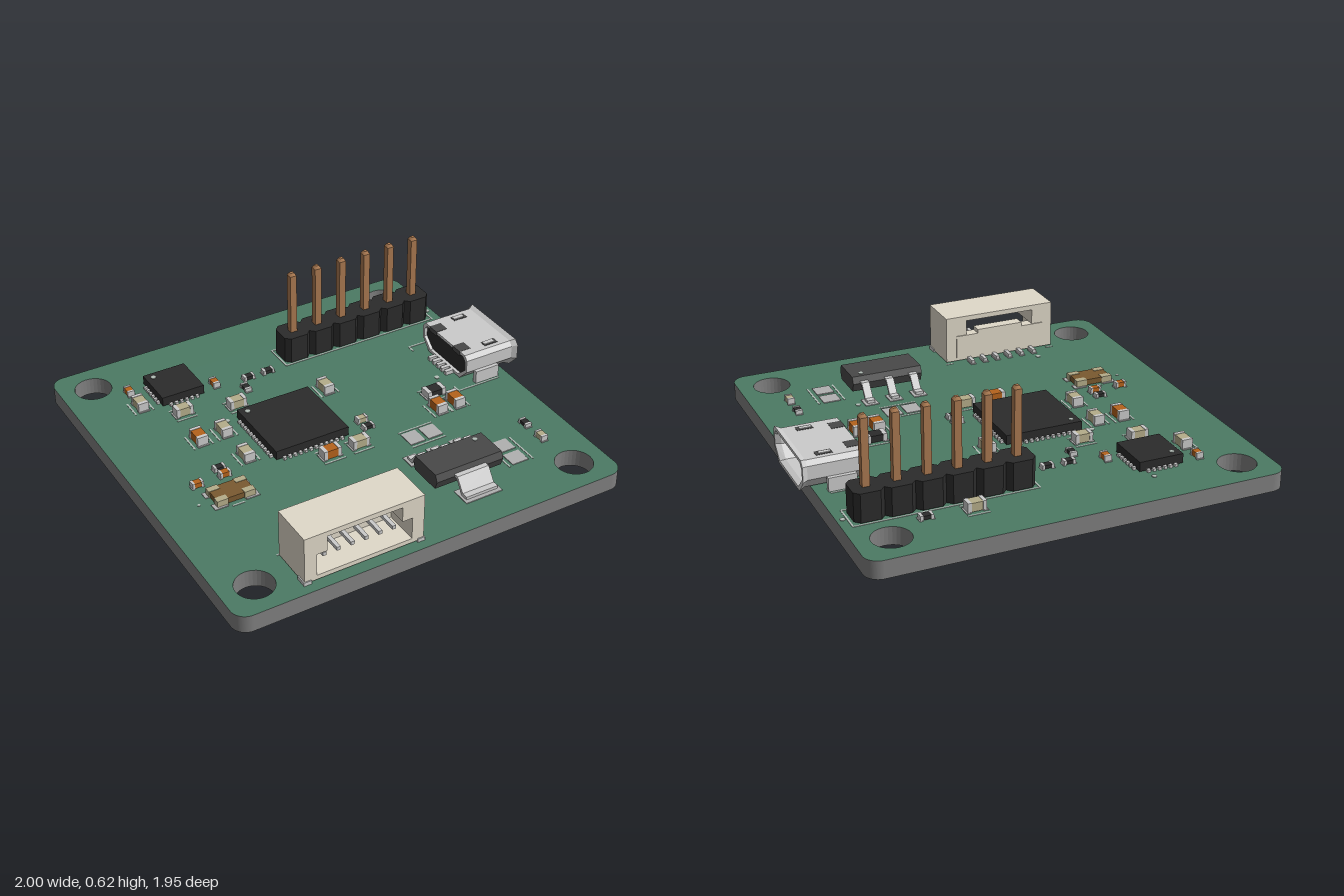
import * as THREE from 'three';

const TOP = 0.16; // upper face of the board
const material = (color) => new THREE.MeshStandardMaterial({ color, side: THREE.DoubleSide });
const M = {
  green: material(0x4c7a64), edge: material(0x808080), black: material(0x2b2b2b), silk: material(0xb4beb8),
  metal: material(0xcccccc), pad: material(0xb0b0b0), cream: material(0xe0d9c9), tan: material(0xb5ad8a),
  orange: material(0xb5621c), brown: material(0x7a5a30), copper: material(0xa87850), dark: material(0x484848),
};

function mesh(parent, name, geometry, mat) {
  const m = new THREE.Mesh(geometry, mat);
  m.name = name;
  parent.add(m);
  return m;
}

function group(parent, name) {
  const g = new THREE.Group();
  g.name = name;
  parent.add(g);
  return g;
}

// Box given by its limits on each axis
function box(parent, name, mat, x0, x1, y0, y1, z0, z1) {
  const m = mesh(parent, name, new THREE.BoxGeometry(x1 - x0, y1 - y0, z1 - z0), mat);
  m.position.set((x0 + x1) / 2, (y0 + y1) / 2, (z0 + z1) / 2);
  return m;
}

// Outline of [z, y] points (with optional hole) swept along x
function sweepX(points, x0, x1, hole) {
  const vec = (list) => list.map(([z, y]) => new THREE.Vector2(-z, y));
  const s = new THREE.Shape(vec(points));
  if (hole) s.holes.push(new THREE.Path(vec(hole)));
  const g = new THREE.ExtrudeGeometry(s, { depth: x1 - x0, bevelEnabled: false });
  return g.rotateY(Math.PI / 2).translate(x0, 0, 0);
}

function dot(parent, name, x, z, r, y = TOP) {
  mesh(parent, name, new THREE.CylinderGeometry(r, r, 0.004, 16), M.silk).position.set(x, y + 0.001, z);
}

const silk = (p, x0, x1, z0, z1) => box(p, 'printedLine', M.silk, x0, x1, TOP, TOP + 0.002, z0, z1);
const pad = (p, x, z, w, d) => box(p, 'pad', M.pad, x - w / 2, x + w / 2, TOP, TOP + 0.004, z - d / 2, z + d / 2);

function addBoard(root) {
  const x0 = -1, x1 = 0.945, y0 = -0.97, y1 = 0.975, r = 0.07;
  const s = new THREE.Shape();
  s.absarc(x1 - r, y1 - r, r, 0, Math.PI / 2);
  s.absarc(x0 + r, y1 - r, r, Math.PI / 2, Math.PI);
  s.absarc(x0 + r, y0 + r, r, Math.PI, Math.PI * 1.5);
  s.absarc(x1 - r, y0 + r, r, Math.PI * 1.5, Math.PI * 2);
  for (const x of [-0.84, 0.785]) for (const y of [-0.81, 0.815]) {
    s.holes.push(new THREE.Path().absarc(x, y, 0.088, 0, Math.PI * 2, true));
  }
  const g = new THREE.ExtrudeGeometry(s, { depth: 0.085, bevelEnabled: false, curveSegments: 16 });
  mesh(root, 'board', g.rotateX(-Math.PI / 2).translate(0, TOP - 0.085, 0), [M.green, M.edge]);
}

// Flat square chip with contact stubs on all four sides
function addQuadChip(root, name, cx, cz, size, height, pins) {
  const g = group(root, name), h = size / 2;
  g.position.set(cx, 0, cz);
  box(g, 'chipBody', M.black, -h, h, TOP + 0.005, TOP + height, -h, h);
  for (let side = 0; side < 4; side++) {
    const row = group(g, 'contactRow');
    row.rotation.y = side * Math.PI / 2;
    for (let i = 0; i < pins; i++) {
      const x = (i - (pins - 1) / 2) * 0.0272;
      box(row, 'contact', M.metal, x - 0.0075, x + 0.0075, TOP, TOP + 0.013, h - 0.02, h + 0.015);
    }
  }
  dot(g, 'pinOneMark', -h + 0.037, -h + 0.037, 0.012, TOP + height);
}

// Two-terminal part, long side on x unless turned
function addChipPart(root, [x, z, length, mat, turned]) {
  const g = group(root, 'smallPart');
  g.position.set(x, 0, z);
  if (turned) g.rotation.y = Math.PI / 2;
  const l = length / 2, w = l * 0.58, h = mat === M.black ? length * 0.36 : length * 0.52, off = w + 0.02;
  box(g, 'partBody', mat, -l * 0.6, l * 0.6, TOP + 0.004, TOP + h, -w, w);
  for (const s of [-1, 1]) {
    box(g, 'terminal', M.metal, s * l * 0.8 - l * 0.2, s * l * 0.8 + l * 0.2, TOP, TOP + h + 0.002, -w - 0.001, w + 0.001);
    pad(g, s * l * 0.92, 0, l * 0.5, w * 2.2);
    if (length > 0.07) silk(g, -l * 1.2, l * 1.2, s * off - 0.004, s * off + 0.004);
  }
}

function addPinHeader(root) {
  const g = group(root, 'pinHeader');
  for (let i = 0; i < 6; i++) {
    const x = 0.13 + i * 0.137, a = 0.0686, b = 0.045;
    const s = new THREE.Shape([[-a, -b], [-b, -a], [b, -a], [a, -b], [a, b], [b, a], [-b, a], [-a, b]]
      .map(([u, v]) => new THREE.Vector2(u, v)));
    const body = new THREE.ExtrudeGeometry(s, { depth: 0.135, bevelEnabled: false }).rotateX(-Math.PI / 2);
    mesh(g, 'headerBlock', body, M.black).position.set(x, TOP + 0.004, -0.597);
    box(g, 'headerPin', M.copper, x - 0.017, x + 0.017, 0.015, 0.61, -0.614, -0.58);
    for (const [y, up] of [[0.6175, 1], [0.0075, -1]]) { // tapered pin ends
      const tip = new THREE.CylinderGeometry(up > 0 ? 0.012 : 0.024, up > 0 ? 0.024 : 0.012, 0.015, 4, 1);
      mesh(g, 'pinTip', tip.rotateY(Math.PI / 4), M.copper).position.set(x, y, -0.597);
    }
    const ring = new THREE.RingGeometry(0.022, 0.042, 16).rotateX(Math.PI / 2);
    mesh(g, 'solderRing', ring, M.copper).position.set(x, 0.074, -0.597);
  }
  for (const z of [-0.672, -0.522]) silk(g, 0.05, 0.9, z - 0.004, z + 0.004);
  for (const x of [0.052, 0.898]) silk(g, x - 0.004, x + 0.004, -0.672, -0.522);
}

function addPortSocket(root) {
  const g = group(root, 'portSocket'), cz = -0.137, cy = 0.24;
  const outline = (t) => [[-0.135 + t, -0.073 + t], [0.135 - t, -0.073 + t], [0.19 - t, -0.015 + t / 2], [0.19 - t, 0.05 - t],
    [0.17 - t, 0.072 - t], [-0.17 + t, 0.072 - t], [-0.19 + t, 0.05 - t], [-0.19 + t, -0.015 + t / 2]];
  const place = (m) => m.position.set(0, cy, cz);
  place(mesh(g, 'shell', sweepX(outline(0), 0.715, 0.975, outline(0.014)), M.metal));
  // Mouth rim widens towards its open end
  const rim = sweepX(outline(0), 0.975, 1.0, outline(0.014)), p = rim.attributes.position;
  for (let i = 0; i < p.count; i++) if (p.getX(i) > 0.99) p.setXYZ(i, p.getX(i), p.getY(i) * 1.13, p.getZ(i) * 1.08);
  rim.computeVertexNormals();
  place(mesh(g, 'mouthRim', rim, M.metal));
  place(mesh(g, 'innerBlock', sweepX(outline(0.015), 0.73, 0.78), M.black));
  box(g, 'tongue', M.black, 0.77, 0.965, 0.25, 0.275, cz - 0.125, cz + 0.125);
  for (let i = -2; i <= 2; i++) {
    const z = cz + i * 0.035;
    box(g, 'tongueContact', M.copper, 0.78, 0.96, 0.243, 0.25, z - 0.009, z + 0.009);
    box(g, 'rearLead', M.metal, 0.675, 0.74, TOP, 0.18, z - 0.01, z + 0.01);
  }
  for (const s of [-1, 1]) {
    box(g, 'slot', M.dark, 0.845, 0.92, 0.308, 0.3135, cz + s * 0.13 - 0.018, cz + s * 0.13 + 0.018);
    box(g, 'springTab', M.metal, 0.85, 0.905, 0.309, 0.317, cz + s * 0.13 - 0.01, cz + s * 0.13 + 0.01);
    box(g, 'rearNotch', M.dark, 0.712, 0.775, 0.29, 0.3135, cz + s * 0.1 - 0.03, cz + s * 0.1 + 0.03);
    box(g, 'mountingFoot', M.metal, 0.76, 0.89, TOP, 0.225, cz + s * 0.197 - 0.012, cz + s * 0.197 + 0.012);
    silk(g, 0.655, 0.885, cz + s * 0.22 - 0.004, cz + s * 0.22 + 0.004);
    silk(g, 0.651, 0.659, cz + s * 0.2 - 0.02, cz + s * 0.2 + 0.02);
  }
}

function addCableSocket(root) {
  const g = group(root, 'cableSocket'), v = (list) => list.map(([x, y]) => new THREE.Vector2(x, y));
  const s = new THREE.Shape(v([[-0.668, 0.168], [-0.092, 0.168], [-0.092, 0.4], [-0.668, 0.4]]));
  s.holes.push(new THREE.Path(v([[-0.61, 0.19], [-0.61, 0.3], [-0.56, 0.3], [-0.56, 0.375],
    [-0.2, 0.375], [-0.2, 0.3], [-0.15, 0.3], [-0.15, 0.19]])));
  mesh(g, 'housing', new THREE.ExtrudeGeometry(s, { depth: 0.215, bevelEnabled: false }), M.cream).position.z = 0.705;
  box(g, 'rearWall', M.cream, -0.615, -0.145, 0.185, 0.3, 0.7, 0.755);
  box(g, 'rearKey', M.cream, -0.5, -0.26, 0.3, 0.32, 0.7, 0.755);
  for (let i = 0; i < 6; i++) {
    const x = -0.55 + i * 0.0672;
    box(g, 'socketPin', M.metal, x - 0.009, x + 0.009, 0.24, 0.258, 0.75, 0.88);
    box(g, 'socketLead', M.metal, x - 0.009, x + 0.009, TOP, 0.18, 0.65, 0.72);
    pad(g, x, 0.672, 0.028, 0.055);
  }
  for (const x of [-0.655, -0.105]) {
    box(g, 'solderTab', M.metal, x - 0.018, x + 0.018, TOP, 0.178, 0.87, 0.925);
    silk(g, x - 0.019, x + 0.019, 0.692, 0.7);
  }
}

function addRegulator(root) {
  const g = group(root, 'regulator');
  const body = [[0.51, 0.23], [0.525, 0.188], [0.685, 0.188], [0.7, 0.23], [0.685, 0.262], [0.525, 0.262]];
  mesh(g, 'regulatorBody', sweepX(body, 0.12, 0.47), M.dark);
  // Bent lead profile running away from the body; dir sets which side
  const lead = (x, w, z, dir, reach) => {
    const pts = [[0, 0.24], [0.025, 0.24], [0.07, 0.178], [reach, 0.178], [reach, 0.164], [0.062, 0.164], [0.018, 0.226], [0, 0.226]];
    mesh(g, 'bentLead', sweepX(pts.map(([d, y]) => [z + dir * d, y]), x - w / 2, x + w / 2), M.metal);
  };
  for (const x of [0.17, 0.293, 0.416]) {
    lead(x, 0.038, 0.515, -1, 0.1);
    pad(g, x, 0.435, 0.066, 0.075);
  }
  lead(0.295, 0.165, 0.695, 1, 0.1);
  pad(g, 0.295, 0.765, 0.19, 0.1);
  dot(g, 'pinOneMark', 0.416, 0.555, 0.011, 0.262);
}

function addOscillator(root) {
  const g = group(root, 'oscillator');
  box(g, 'oscillatorBody', M.brown, -0.74, -0.56, TOP + 0.004, 0.192, 0.185, 0.29);
  for (const sx of [-1, 1]) for (const sz of [-1, 1]) {
    const x = -0.65 + sx * 0.067, z = 0.238 + sz * 0.041;
    box(g, 'cornerContact', M.tan, x - 0.027, x + 0.027, TOP, 0.194, z - 0.016, z + 0.016);
    pad(g, x + sx * 0.01, z + sz * 0.006, 0.066, 0.04);
  }
  for (const z of [0.163, 0.313]) silk(g, -0.68, -0.62, z - 0.004, z + 0.004);
}

export function createModel() {
  const root = new THREE.Group();
  root.name = 'circuitBoard';
  addBoard(root);
  addQuadChip(root, 'mainChip', -0.172, -0.063, 0.378, 0.05, 12);
  addQuadChip(root, 'sensorChip', -0.51, -0.618, 0.216, 0.05, 6);
  addPinHeader(root);
  addPortSocket(root);
  addCableSocket(root);
  addRegulator(root);
  addOscillator(root);

  // Small parts: x, z, length, material, turned along z
  const { tan, orange, black } = M;
  [[-0.71, -0.69, 0.056, orange, 1], [-0.71, -0.565, 0.086, tan, 1], [-0.56, -0.415, 0.086, tan],
    [-0.327, -0.55, 0.056, orange, 1], [-0.16, -0.518, 0.056, black], [-0.055, -0.518, 0.056, black],
    [-0.212, -0.443, 0.056, black, 1], [-0.315, -0.345, 0.086, tan], [-0.592, -0.187, 0.09, orange, 1],
    [-0.465, -0.187, 0.086, tan, 1], [-0.465, 0.03, 0.086, tan, 1], [0.112, -0.25, 0.086, tan, 1],
    [0.383, -0.737, 0.086, tan], [0.6, -0.727, 0.06, black], [-0.612, 0.05, 0.054, black],
    [-0.612, 0.105, 0.054, orange], [-0.752, 0.112, 0.054, orange], [-0.132, 0.213, 0.09, orange],
    [0.02, 0.213, 0.086, tan], [0.125, 0.06, 0.054, tan], [0.125, 0.118, 0.054, black],
    [0.537, 0.043, 0.1, black], [0.487, 0.155, 0.09, orange, 1], [0.585, 0.155, 0.09, orange, 1],
    [0.765, 0.465, 0.056, black, 1], [0.765, 0.588, 0.056, tan, 1]].forEach((part) => addChipPart(root, part));

  // Unfilled pads and their border lines
  for (const x of [0.262, 0.358]) pad(root, x, 0.29, 0.078, 0.09);
  for (const z of [0.55, 0.65]) pad(root, 0.578, z, 0.085, 0.08);
  for (const z of [0.23, 0.352]) silk(root, 0.22, 0.4, z - 0.004, z + 0.004);
  for (const x of [0.516, 0.643]) silk(root, x - 0.004, x + 0.004, 0.51, 0.695);

  [[-0.41, -0.257], [-0.445, -0.78], [0.478, 0.428], [0.627, -0.065], [0.917, -0.597], [-0.55, 0.605], [-0.805, 0.237]]
    .forEach(([x, z], i) => dot(root, 'orientationDot', x, z, i === 6 ? 0.007 : 0.012));
  return root;
}
